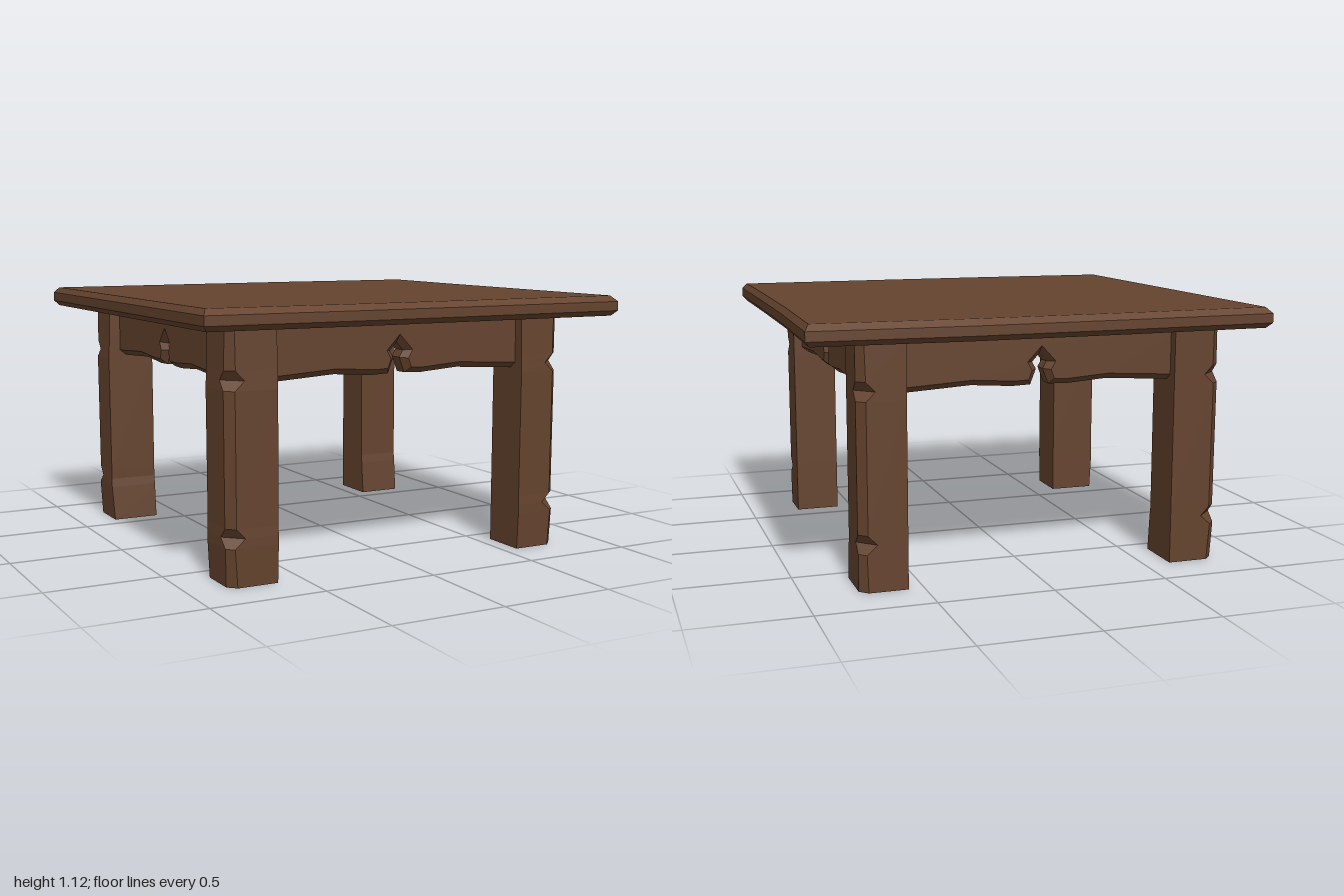
import * as THREE from 'three';

const wood = new THREE.MeshStandardMaterial({ color: 0x65432e, flatShading: true, side: THREE.DoubleSide });
wood.name = 'brown wood';

// Skin rings of [x, y, z] points, listed from bottom to top, with optional end caps
function loft(rings, capBottom, capTop) {
  const n = rings[0].length;
  const index = [];
  for (let r = 0; r < rings.length - 1; r++) {
    for (let i = 0; i < n; i++) {
      const j = (i + 1) % n;
      const a = r * n + i, b = r * n + j, c = a + n, d = b + n;
      index.push(a, b, d, a, d, c);
    }
  }
  const top = (rings.length - 1) * n;
  for (let i = 1; i < n - 1; i++) {
    if (capBottom) index.push(0, i + 1, i);
    if (capTop) index.push(top, top + i, top + i + 1);
  }
  const geo = new THREE.BufferGeometry();
  geo.setAttribute('position', new THREE.Float32BufferAttribute(rings.flat(2), 3));
  geo.setIndex(index);
  geo.computeVertexNormals();
  return geo;
}

function add(group, name, geo) {
  const mesh = new THREE.Mesh(geo, wood);
  mesh.name = name;
  group.add(mesh);
  return mesh;
}

// Slightly uneven slab with a bevelled rim
function tabletopGeometry() {
  const outline = [
    [-0.99, 0.955], [-0.33, 0.975], [0.2, 0.975], [0.965, 0.965],
    [0.97, 0.33], [0.98, -0.33], [1, -0.955],
    [0.33, -0.98], [-0.33, -0.97], [-1, -0.945], [-0.995, 0],
  ];
  const levels = [[1.037, 0.02, 0.025], [1.06, 0, 0], [1.1, 0, 0], [1.125, 0.02, 0.035]];
  const rings = levels.map(([y, dx, dz]) => outline.map(([x, z]) => [x * (1 - dx), y, z * (1 - dz)]));
  return loft(rings, true, true);
}

// Hollow-footed post: chamfered outer corner with two carved notches
function legGeometry(sx, sz) {
  const xi = sx > 0 ? 0.567 : 0.617;
  const xo = sx > 0 ? 0.77 : 0.83;
  // height, chamfer, outward bulge, inner flare
  const levels = [
    [0, 0.035, 0, 0.01], [0.16, 0.03, 0.008, 0.003], [0.2, 0.075, 0.008, 0], [0.24, 0.035, 0.006, 0],
    [0.79, 0.035, 0.008, 0], [0.83, 0.075, 0.006, 0], [0.87, 0.035, 0.004, 0], [1.04, 0.03, 0, 0],
  ];
  const rings = levels.map(([y, c, bulge, flare]) => {
    const x1 = xo + (sx < 0 ? bulge : 0);
    const z1 = 0.803 + (sz > 0 ? bulge : 0);
    const z0 = 0.6 - (sz < 0 ? flare * 2 : 0);
    const ring = [[xi, z1], [x1 - c, z1], [x1, z1 - c], [x1, z0], [xi, z0]]
      .map(([x, z]) => [sx * x, y, sz * z]);
    return sx * sz < 0 ? ring.reverse() : ring;
  });
  return loft(rings, false, true);
}

// Rail with a wavy, chamfered lower edge and a keyhole notch in the middle
function apronGeometry() {
  const half = [[0.04, 0.815], [0.015, 0.88], [0.032, 0.91]];
  const right = [[0.66, 0.805], [0.55, 0.81], [0.3, 0.825], [0.12, 0.812], ...half];
  const left = [...right].reverse().map(([x, y]) => [-x, y]);
  const points = [[0.66, 1.05], ...right, [0, 0.945], ...left, [-0.66, 1.05]];
  const shape = new THREE.Shape(points.map(([x, y]) => new THREE.Vector2(x, y)));
  const geo = new THREE.ExtrudeGeometry(shape, {
    depth: 0.06, bevelEnabled: true, bevelSegments: 1,
    bevelSize: 0.025, bevelThickness: 0.03, bevelOffset: -0.025,
  });
  geo.translate(0, 0, -0.03);
  // Keep the upper edge square, just below the top
  const p = geo.attributes.position;
  for (let i = 0; i < p.count; i++) if (p.getY(i) > 1) p.setY(i, 1.028);
  geo.computeVertexNormals();
  return geo;
}

export function createModel() {
  const table = new THREE.Group();
  table.name = 'table';

  add(table, 'tabletop', tabletopGeometry());

  for (const [sz, end] of [[1, 'front'], [-1, 'back']]) {
    for (const [sx, side] of [[1, 'Left'], [-1, 'Right']]) {
      add(table, `${end}${side}Leg`, legGeometry(sx, sz));
    }
  }

  // Rails run between the leg centres on all four sides
  const apron = apronGeometry();
  const rails = [
    ['frontApron', -0.025, 0.7, 0], ['backApron', -0.025, -0.7, Math.PI],
    ['leftApron', 0.67, 0, Math.PI / 2], ['rightApron', -0.72, 0, -Math.PI / 2],
  ];
  for (const [name, x, z, turn] of rails) {
    const rail = add(table, name, apron);
    rail.position.set(x, 0, z);
    rail.rotation.y = turn;
  }
  return table;
}
